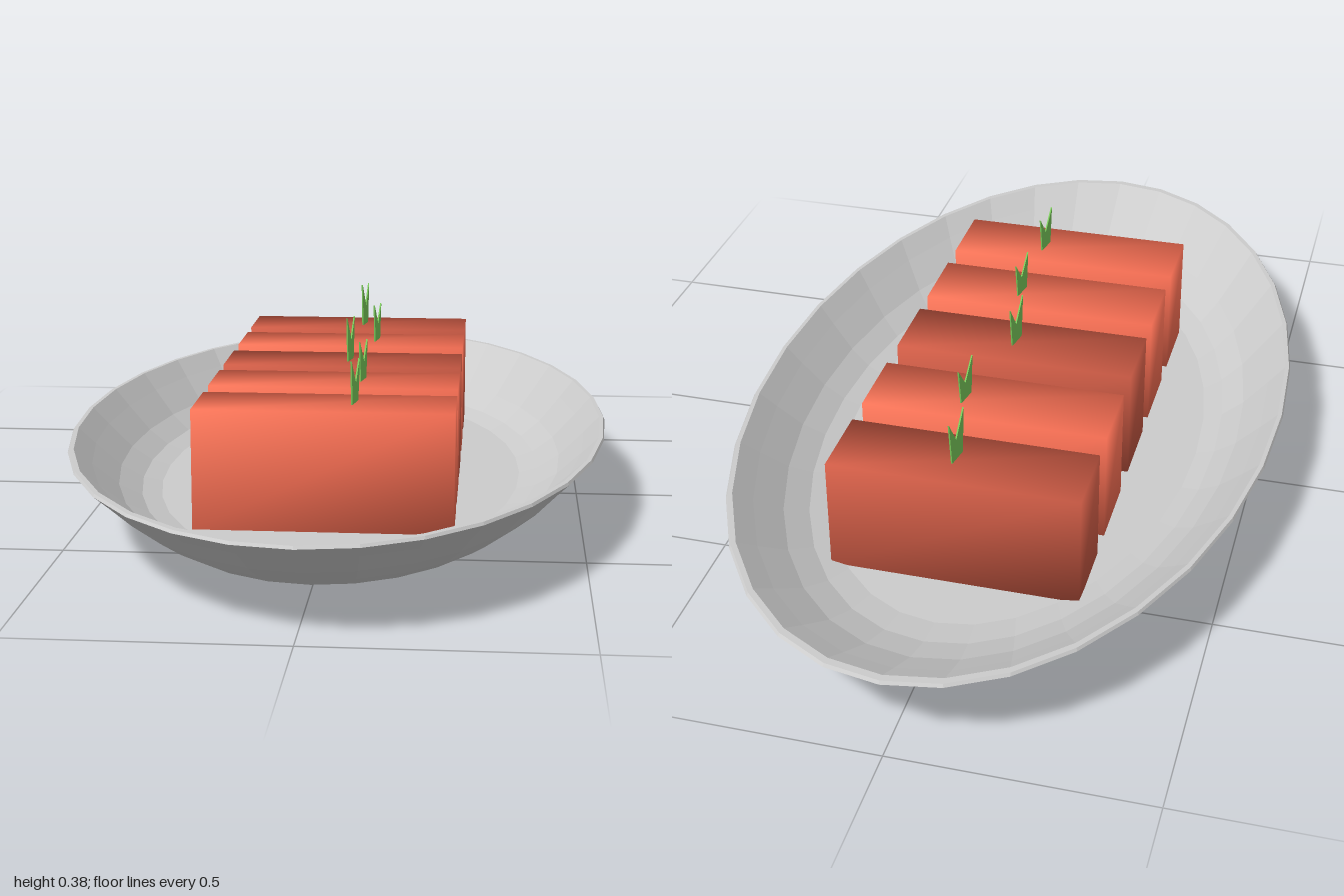
import * as THREE from 'three';
import { mergeVertices } from 'three/addons/utils/BufferGeometryUtils.js';

const material = (color, extra = {}) => new THREE.MeshStandardMaterial({ color, ...extra });

// Oval dish: a closed faceted lathe squeezed along x
function createPlate() {
  const profile = [
    [0, 0], [0.64, 0], [0.72, 0.015], [0.79, 0.045], [0.87, 0.085], [0.95, 0.135], [1, 0.165],
    [0.995, 0.17], [0.98, 0.17],
    [0.92, 0.135], [0.83, 0.085], [0.75, 0.056], [0.68, 0.045], [0, 0.045],
  ].map(([r, y]) => new THREE.Vector2(r, y));
  const geometry = new THREE.LatheGeometry(profile, 32);
  geometry.scale(0.555, 1, 1);
  const plate = new THREE.Mesh(geometry, material(0xcccccc, { flatShading: true }));
  plate.name = 'plate';
  return plate;
}

// Block with shared corners, so its shading blends across the edges
function createSliceGeometry() {
  const box = new THREE.BoxGeometry(0.5, 0.235, 0.16);
  box.deleteAttribute('normal');
  box.deleteAttribute('uv');
  const geometry = mergeVertices(box);
  geometry.computeVertexNormals();
  return geometry;
}

// Thin two-pointed leaf, outlined across z and y
function createSproutGeometry() {
  const shape = new THREE.Shape([
    [-0.022, -0.01], [0.022, -0.01], [0.033, 0.085], [0.004, 0.04], [-0.03, 0.09],
  ].map(([x, y]) => new THREE.Vector2(x, y)));
  const geometry = new THREE.ExtrudeGeometry(shape, { depth: 0.003, bevelEnabled: false });
  geometry.translate(0, 0, -0.0015);
  geometry.rotateY(Math.PI / 2 - 0.17);
  return geometry;
}

export function createModel() {
  const model = new THREE.Group();
  model.name = 'platter';
  model.add(createPlate());

  const sliceGeometry = createSliceGeometry();
  const sproutGeometry = createSproutGeometry();
  const light = material(0xff7256);
  const dark = material(0xcd5b45);
  const green = material(0x7ccd5c, { side: THREE.DoubleSide });

  // Row of slices: z position, whether dark, sprout z and sprout height
  const row = [
    [-0.475, true, -0.47, 1.08],
    [-0.255, false, -0.262, 0.92],
    [-0.025, true, -0.022, 1.05],
    [0.19, false, 0.185, 0.92],
    [0.41, false, 0.403, 0.95],
  ];
  for (const [z, isDark, sproutZ, height] of row) {
    const slice = new THREE.Mesh(sliceGeometry, isDark ? dark : light);
    slice.name = 'slice';
    slice.position.set(0, 0.1625, z);
    const sprout = new THREE.Mesh(sproutGeometry, green);
    sprout.name = 'sprout';
    sprout.position.set(isDark ? 0.013 : 0.055, 0.28, sproutZ);
    sprout.scale.y = height;
    model.add(slice, sprout);
  }
  return model;
}
